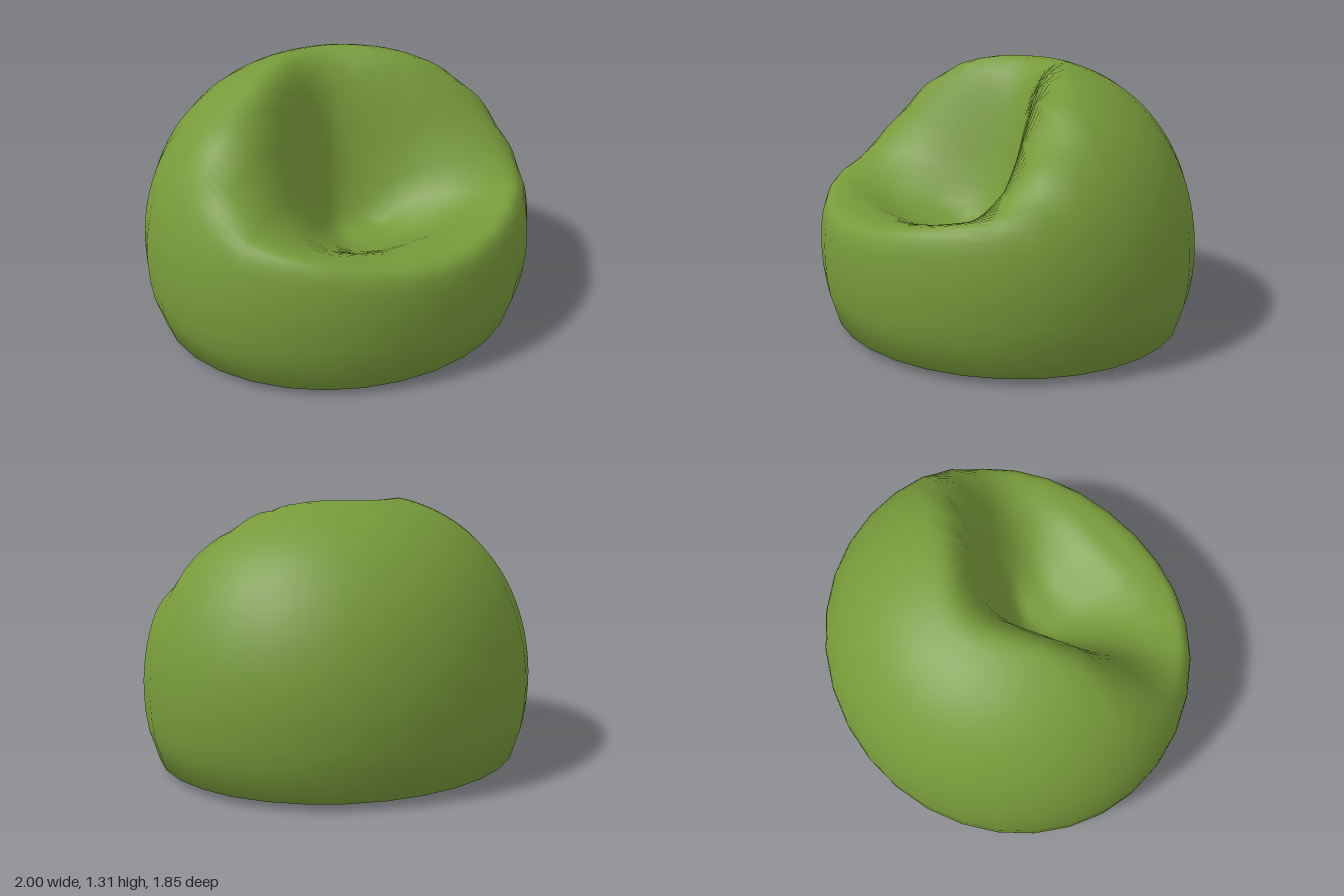
import * as THREE from 'three';
import { mergeVertices } from 'three/addons/utils/BufferGeometryUtils.js';

const { smoothstep, lerp } = THREE.MathUtils;

// Smooth curve through [z, y] points, z ascending (monotone Hermite)
function profile(points) {
  const n = points.length;
  const d = points.slice(1).map((p, i) => (p[1] - points[i][1]) / (p[0] - points[i][0]));
  const slope = points.map((p, i) => {
    if (i === 0) return d[0];
    if (i === n - 1) return d[n - 2];
    return d[i - 1] * d[i] <= 0 ? 0 : (2 * d[i - 1] * d[i]) / (d[i - 1] + d[i]);
  });
  return (z) => {
    if (z <= points[0][0]) return points[0][1];
    if (z >= points[n - 1][0]) return points[n - 1][1];
    const i = points.findIndex((p) => p[0] > z) - 1;
    const h = points[i + 1][0] - points[i][0];
    const t = (z - points[i][0]) / h;
    return points[i][1] * (1 + 2 * t) * (1 - t) ** 2 + slope[i] * h * t * (1 - t) ** 2
      + points[i + 1][1] * t * t * (3 - 2 * t) + slope[i + 1] * h * t * t * (t - 1);
  };
}

// Height limit along the side rims, and along the middle of the hollow
const rim = profile([[-0.3, 1.8], [-0.15, 1.6], [0, 1.36], [0.1, 1.21], [0.2, 1.05],
  [0.3, 0.91], [0.4, 0.8], [0.5, 0.745], [0.7, 0.72], [0.8, 0.68], [0.92, 0.61]]);
const hollow = profile([[-0.4, 1.56], [-0.25, 1.39], [-0.17, 1.28], [-0.1, 1.15], [-0.04, 0.96],
  [0.03, 0.72], [0.09, 0.57], [0.16, 0.5], [0.3, 0.5], [0.5, 0.56], [0.7, 0.64],
  [0.8, 0.645], [0.92, 0.6]]);

function seatHeight(x, z) {
  const side = smoothstep(Math.abs(x), 0.08, 0.72);
  const curl = 0.5 * (Math.hypot(x, 0.1) - 0.1) * (1 - smoothstep(z, 0.2, 0.75));
  return lerp(hollow(z - curl), rim(z), side);
}

function smoothMin(a, b, k) {
  const h = Math.max(k - Math.abs(a - b), 0) / k;
  return Math.min(a, b) - h * h * k * 0.25;
}

export function createModel() {
  const green = new THREE.MeshStandardMaterial({ color: 0x779a3a });
  green.name = 'green fabric';

  // Round profile: flat base, bulging side, domed top
  const points = [[0, 0.008], [0.5, 0.008], [0.82, 0.012], [0.93, 0.045],
    [0.98, 0.2], [0.995, 0.3]].map(([r, y]) => new THREE.Vector2(r, y));
  const rows = 30;
  for (let i = 0; i <= rows; i++) {
    const r = i === rows ? 0 : Math.cos((i / rows) * Math.PI / 2);
    points.push(new THREE.Vector2(r, 0.4 + 0.945 * (1 - r ** 2.4) ** 0.485));
  }
  let geometry = new THREE.LatheGeometry(points, 32);
  geometry.scale(1, 1, 0.925);

  // Press the seat and backrest into the dome
  const pos = geometry.attributes.position;
  for (let i = 0; i < pos.count; i++) {
    const y = pos.getY(i);
    if (y > 0.4) pos.setY(i, smoothMin(y, seatHeight(pos.getX(i), pos.getZ(i)), 0.14));
  }

  // Weld the seam so the shading is continuous
  geometry.deleteAttribute('uv');
  geometry.deleteAttribute('normal');
  geometry = mergeVertices(geometry, 1e-4);
  geometry.computeVertexNormals();

  const cushion = new THREE.Mesh(geometry, green);
  cushion.name = 'beanBag';
  const model = new THREE.Group();
  model.name = 'beanBagChair';
  model.add(cushion);
  return model;
}
